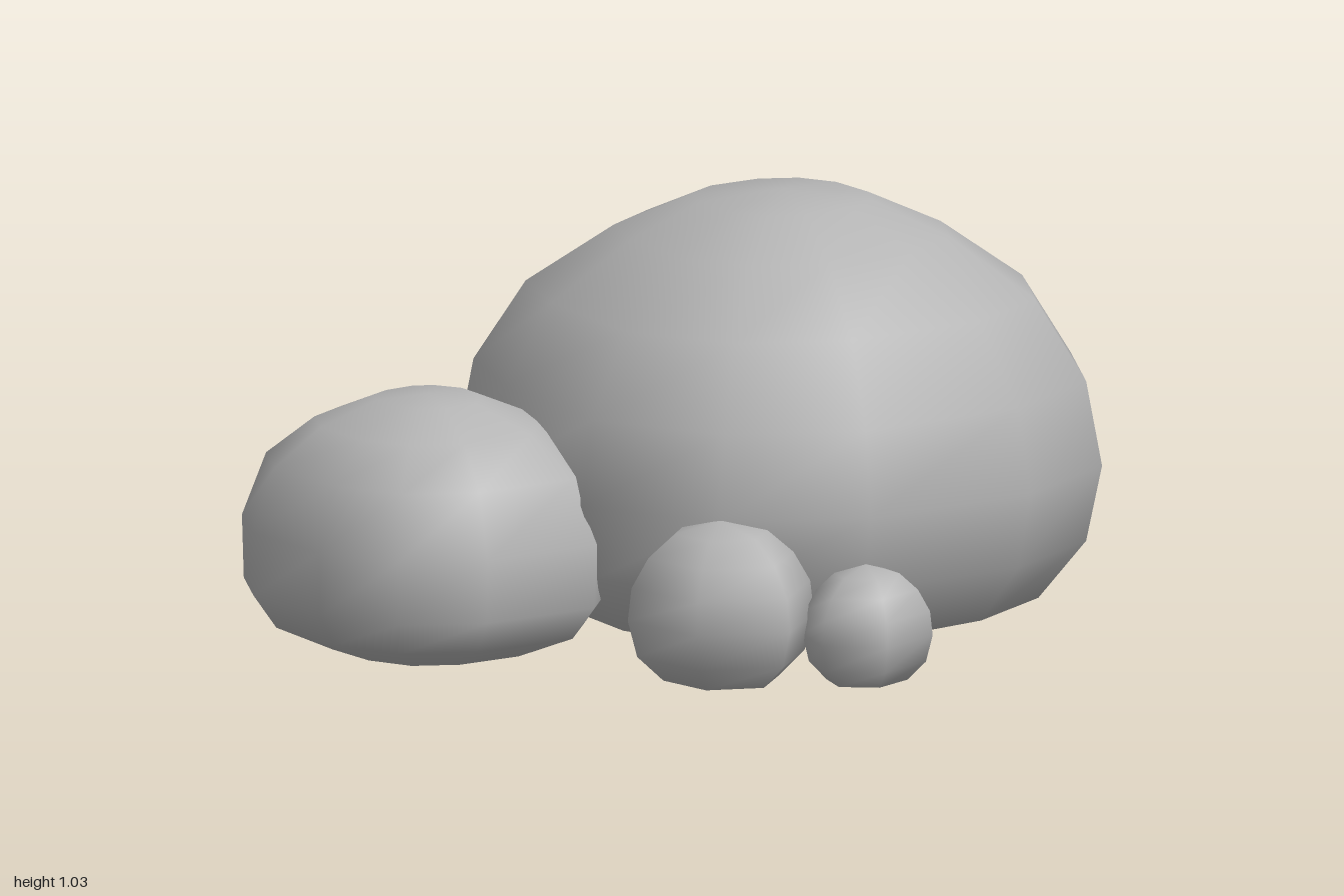
import * as THREE from 'three';

const stone = new THREE.MeshStandardMaterial({ color: 0xb4b4b4 });
stone.name = 'grey stone';

// Closed smooth boulder: the [x, z] outline (counter-clockwise from above) is
// scaled about the centre at each [scale, y] ring, between two pole heights.
function boulder(name, [cx, cz], outline, rings, bottom, top) {
  const n = outline.length, pos = [], index = [];
  for (const [s, y] of rings)
    for (const [x, z] of outline) pos.push(cx + (x - cx) * s, y, cz + (z - cz) * s);
  const low = pos.length / 3, high = low + 1;
  pos.push(cx, bottom, cz, cx, top, cz);
  const last = (rings.length - 1) * n;
  for (let i = 0; i < n; i++) {
    const k = (i + 1) % n;
    index.push(low, k, i, last + i, last + k, high);
    for (let j = 0; j < last; j += n)
      index.push(j + i, j + k, j + n + k, j + i, j + n + k, j + n + i);
  }
  const geometry = new THREE.BufferGeometry();
  geometry.setAttribute('position', new THREE.Float32BufferAttribute(pos, 3));
  geometry.setIndex(index);
  geometry.computeVertexNormals();
  const mesh = new THREE.Mesh(geometry, stone);
  mesh.name = name;
  return mesh;
}

// Rounded pebble profile with a flattened base, for a given height
const pebbleRings = (h) => [[0.62, 0.05], [0.9, 0.2], [1, 0.42], [0.96, 0.62], [0.78, 0.8], [0.5, 0.94]]
  .map(([s, t]) => [s, 0.01 + t * (h - 0.01)]);

export function createModel() {
  const group = new THREE.Group();
  group.name = 'rockCluster';

  // Main boulder
  group.add(boulder('largeBoulder', [0.28, -0.11],
    [[1, 0.11], [1, -0.23], [0.78, -0.64], [0.49, -0.84], [0.15, -0.84], [-0.27, -0.62],
      [-0.46, -0.32], [-0.42, 0], [-0.25, 0.42], [0.05, 0.62], [0.4, 0.62], [0.8, 0.4]],
    [[0.51, 0.02], [0.8, 0.08], [0.95, 0.22], [1, 0.4], [0.95, 0.6], [0.79, 0.79], [0.52, 0.93], [0.28, 1.01]],
    0, 1.03));

  // Boulder leaning on its side
  group.add(boulder('mediumBoulder', [-0.58, 0.13],
    [[-0.17, 0.25], [-0.16, 0.05], [-0.27, -0.18], [-0.48, -0.31], [-0.65, -0.31], [-0.88, -0.17],
      [-1, 0], [-1, 0.2], [-0.87, 0.44], [-0.7, 0.57], [-0.49, 0.57], [-0.22, 0.43]],
    [[0.54, 0.02], [0.86, 0.08], [0.99, 0.16], [1, 0.31], [0.87, 0.46], [0.61, 0.55], [0.29, 0.607]],
    0.005, 0.615));

  // Pebbles around the base
  group.add(boulder('frontPebble', [0.05, 0.63],
    [[0.27, 0.6], [0.14, 0.42], [-0.1, 0.44], [-0.17, 0.64], [-0.03, 0.83], [0.19, 0.81]],
    pebbleRings(0.4), 0.015, 0.405));
  group.add(boulder('smallFrontPebble', [0.385, 0.66],
    [[0.54, 0.67], [0.48, 0.55], [0.34, 0.53], [0.24, 0.63], [0.27, 0.77], [0.42, 0.8]],
    pebbleRings(0.295), 0.015, 0.3));
  group.add(boulder('backPebble', [-0.545, -0.42],
    [[-0.39, -0.42], [-0.43, -0.53], [-0.59, -0.55], [-0.7, -0.42], [-0.65, -0.3], [-0.45, -0.3]],
    pebbleRings(0.285), 0.015, 0.29));

  return group;
}
